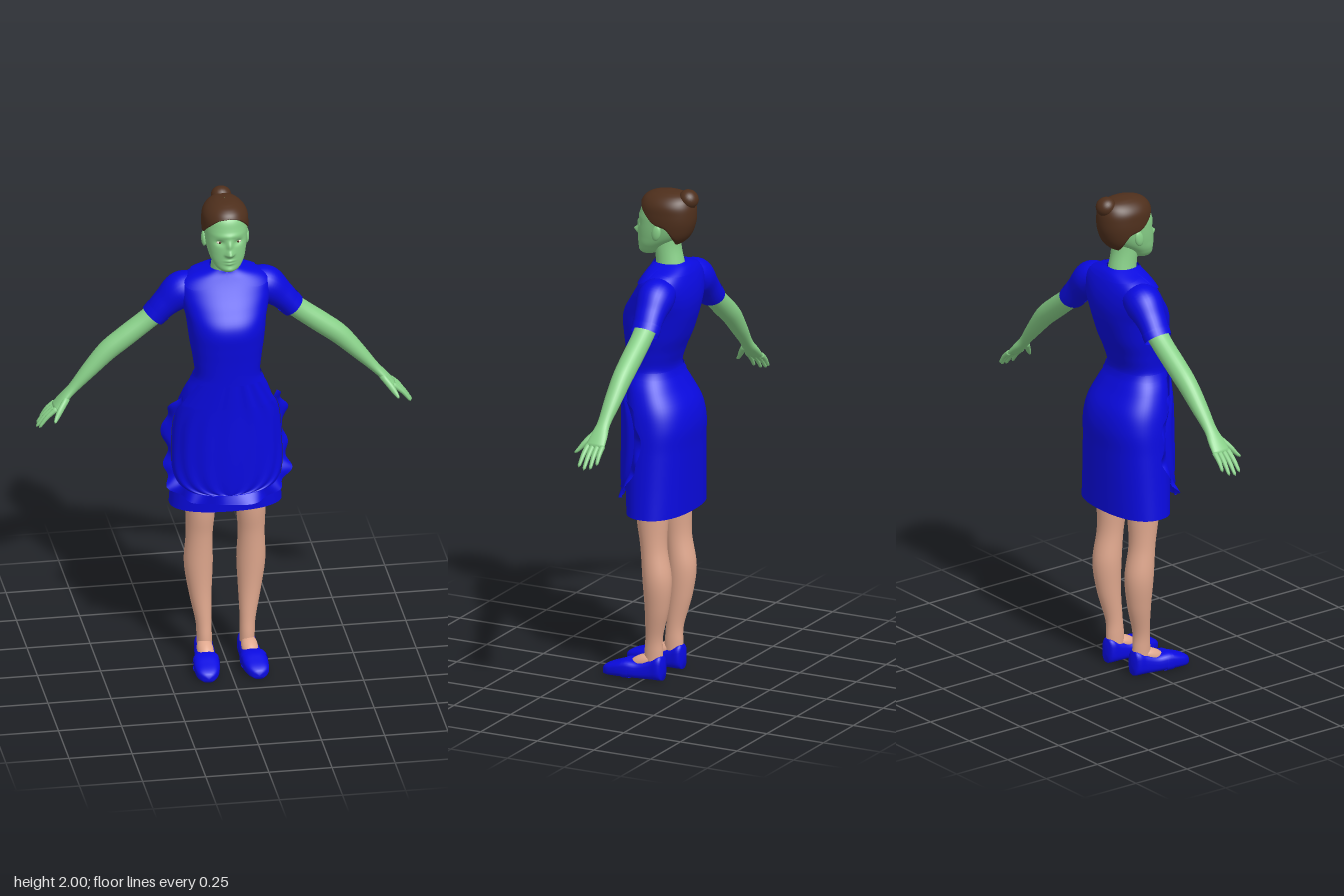
import * as THREE from 'three';
import { mergeVertices } from 'three/addons/utils/BufferGeometryUtils.js';

const material = (name, color, side = THREE.FrontSide) => {
  const m = new THREE.MeshStandardMaterial({ color, side });
  m.name = name;
  return m;
};
const part = (name, geometry, mat) => {
  const m = new THREE.Mesh(geometry, mat);
  m.name = name;
  return m;
};
const spow = (v, e) => Math.sign(v) * Math.pow(Math.abs(v), e);
const RAD = Math.PI / 180;

// Smooth lookup through rows of [key, ...values]
function lookup(rows) {
  const f = new THREE.CubicInterpolant(rows.map(r => r[0]), rows.flatMap(r => r.slice(1)), rows[0].length - 1);
  return k => Array.from(f.evaluate(k));
}

// Surface from fn(u, v), u and v in 0..1
function grid(nu, nv, fn) {
  const pos = [], idx = [];
  for (let i = 0; i <= nu; i++) for (let j = 0; j <= nv; j++) pos.push(...fn(i / nu, j / nv));
  for (let i = 0; i < nu; i++) for (let j = 0; j < nv; j++) {
    const a = i * (nv + 1) + j, b = a + nv + 1;
    idx.push(a, b, a + 1, b, b + 1, a + 1);
  }
  let g = new THREE.BufferGeometry();
  g.setAttribute('position', new THREE.Float32BufferAttribute(pos, 3));
  g.setIndex(idx);
  g = mergeVertices(g, 1e-5);
  g.computeVertexNormals();
  return g;
}

// Tapered limb through [x, y, z, radius across, radius in z]
function limb(points, capped = true, nu = 24, nv = 20) {
  const at = lookup(points.map((p, i) => [i, ...p]));
  const n = points.length - 1, Z = new THREE.Vector3(0, 0, 1);
  return grid(nu, nv, (u, v) => {
    const k = u * n, p = at(k), q = at(Math.min(n, k + 0.02)), o = at(Math.max(0, k - 0.02));
    const N = new THREE.Vector3(q[0] - o[0], q[1] - o[1], 0).normalize().cross(Z);
    const s = capped && (u === 0 || u === 1) ? 0 : 1;
    const c = Math.cos(v * 2 * Math.PI) * p[3] * s;
    return [p[0] + c * N.x, p[1] + c * N.y, p[2] + Math.sin(v * 2 * Math.PI) * p[4] * s];
  });
}

// Horizontal ring surface from rows of [y, half width, front z, back z]
function rings(rows, e) {
  const at = lookup(rows);
  return (y, a, off = 0) => {
    const [w, f, b] = at(y);
    return [(w + off) * spow(Math.sin(a), e), y, (f + b) / 2 + ((f - b) / 2 + off) * spow(Math.cos(a), e)];
  };
}

function ellipsoid(x, y, z, rx, ry, rz, tilt = 0) {
  return new THREE.SphereGeometry(1, 24, 16).scale(rx, ry, rz).rotateX(tilt).translate(x, y, z);
}

// Reflected copy across x = 0
function mirrored(mesh) {
  const g = mesh.geometry.clone().scale(-1, 1, 1), ix = g.index.array;
  for (let i = 0; i < ix.length; i += 3) [ix[i], ix[i + 1]] = [ix[i + 1], ix[i]];
  const nrm = g.attributes.normal;
  if (nrm) g.computeVertexNormals();
  return part(mesh.name.replace('left', 'right'), g, mesh.material);
}

export function createModel() {
  const root = new THREE.Group();
  root.name = 'woman';
  const blue = material('dress blue', 0x0a0ae0, THREE.DoubleSide);
  const green = material('green skin', 0x88d088);
  const tan = material('tan stockings', 0xe0a88e);
  const brown = material('hair brown', 0x4e2f1c, THREE.DoubleSide);
  const white = material('eye white', 0xe6dccb);
  const add = (name, g, m) => root.add(part(name, g, m));
  const pair = (name, g, m) => {
    const p = part('left' + name, g, m);
    root.add(p, mirrored(p));
  };

  // Dress
  const body = rings([
    [0.69, 0.222, 0.078, -0.165], [0.8, 0.214, 0.085, -0.168], [0.95, 0.204, 0.09, -0.173],
    [1.05, 0.198, 0.092, -0.176], [1.12, 0.187, 0.094, -0.16], [1.2, 0.16, 0.098, -0.115],
    [1.26, 0.13, 0.102, -0.088], [1.33, 0.134, 0.108, -0.105], [1.4, 0.145, 0.116, -0.135],
    [1.46, 0.152, 0.121, -0.155], [1.5, 0.157, 0.113, -0.166], [1.55, 0.17, 0.083, -0.173],
    [1.6, 0.18, 0.05, -0.17], [1.64, 0.175, 0.025, -0.16], [1.67, 0.135, 0.008, -0.147],
    [1.69, 0.08, -0.002, -0.132], [1.698, 0.058, -0.004, -0.12]], 0.86);
  const band = (y0, y1, off, n) => grid(n, 64, (u, v) => body(y1 + (y0 - y1) * u, v * 2 * Math.PI, off));
  add('bodice', band(1.25, 1.698, 0, 44), blue);
  add('skirt', band(0.69, 1.25, 0, 36), blue);
  add('waistband', band(1.235, 1.262, 0.005, 2), blue);

  // Rounded collar flaps, meeting at the front
  pair('Collar', grid(8, 40, (u, v) => {
    const a = 0.03 + v * (Math.PI - 0.03), lobe = Math.pow(Math.max(0, Math.sin(Math.min(a * 2.2, Math.PI))), 0.6);
    const low = 1.682 - 0.052 * lobe * (a < 1.43 ? 1 : 0) - (a > 1.43 ? 0.02 * Math.sin((a - 1.43) * 0.92) : 0);
    return body(1.698 + (low - 1.698) * u, a, 0.007);
  }), blue);

  // Short sleeves with cuffs
  pair('Sleeve', limb([
    [0.1, 1.61, -0.08, 0.055, 0.065], [0.165, 1.59, -0.083, 0.074, 0.074], [0.225, 1.54, -0.088, 0.056, 0.062],
    [0.275, 1.484, -0.095, 0.046, 0.056]], false, 24, 28), blue);
  pair('Cuff', limb([
    [0.256, 1.506, -0.092, 0.052, 0.06], [0.278, 1.481, -0.095, 0.049, 0.058]], false, 3, 28), blue);

  // Apron: rounded panel with a wavy ruffle along its edge
  const edge = phi => [82 * RAD * spow(Math.sin(phi), 0.8), 1.0 - 0.23 * spow(Math.cos(phi), 0.8)];
  const PHI = 130 * RAD;
  add('apronPanel', grid(40, 40, (u, v) => {
    const [a, y] = u === 0 ? [56 * RAD, 1.25] : edge(PHI * (1 - u));
    const s = v * 2 - 1;
    return body(y, a * s, 0.018 + 0.002 * Math.cos(s * 22));
  }), blue);
  add('apronRuffle', grid(6, 260, (u, v) => {
    const phi = (v * 2 - 1) * PHI, [a, y] = edge(phi), w = 0.036 * u;
    const wave = 0.011 * Math.sin(phi * 15) + 0.007 * Math.sin(phi * 7 + 1);
    const side = Math.pow(Math.abs(Math.sin(phi)), 2);
    return body(y - w * Math.cos(phi), a + w * 4.5 * Math.sin(phi), 0.018 + u * (0.008 + 0.012 * side + wave));
  }), blue);

  // Arms and palms
  pair('Arm', limb([
    [0.22, 1.535, -0.09, 0.042, 0.046], [0.3, 1.468, -0.093, 0.041, 0.042], [0.39, 1.4, -0.091, 0.042, 0.041],
    [0.46, 1.345, -0.089, 0.04, 0.039], [0.53, 1.272, -0.085, 0.031, 0.034], [0.595, 1.2, -0.081, 0.02, 0.027],
    [0.635, 1.158, -0.08, 0.017, 0.036], [0.675, 1.117, -0.08, 0.012, 0.041]], true, 44, 24), green);
  // Fingers: [root z, tip x, tip y, tip z]
  [[-0.111, 0.722, 1.066, -0.114], [-0.09, 0.739, 1.051, -0.094],
    [-0.07, 0.745, 1.046, -0.069], [-0.05, 0.737, 1.053, -0.043]].forEach(([z, tx, ty, tz], i) =>
    pair('Finger' + (i + 1), limb([
      [0.66, 1.132, z, 0.011, 0.011], [(0.66 + tx) / 2 + 0.004, (1.132 + ty) / 2 + 0.004, (z + tz) / 2, 0.009, 0.0095],
      [tx, ty, tz, 0.005, 0.006]], true, 12, 10), green));
  pair('Thumb', limb([
    [0.615, 1.175, -0.065, 0.013, 0.014], [0.65, 1.135, -0.033, 0.013, 0.013], [0.668, 1.11, -0.015, 0.01, 0.01],
    [0.682, 1.09, 0.002, 0.005, 0.006]], true, 14, 12), green);

  // Legs
  pair('Leg', limb([
    [0.1, 0.9, -0.04, 0.07, 0.075], [0.1, 0.68, -0.035, 0.06, 0.065], [0.103, 0.55, -0.042, 0.053, 0.053],
    [0.104, 0.42, -0.057, 0.057, 0.058], [0.098, 0.3, -0.053, 0.046, 0.049], [0.088, 0.18, -0.036, 0.032, 0.036],
    [0.085, 0.11, -0.032, 0.03, 0.038], [0.085, 0.04, -0.032, 0.03, 0.04]], true, 44, 24), tan);
  pair('Instep', ellipsoid(0.088, 0.065, 0.015, 0.033, 0.03, 0.066, 0.42), tan);

  // Loafers: rows of [z, centre x, half width, height]
  const shoe = lookup([
    [-0.081, 0.085, 0.018, 0.088], [-0.068, 0.085, 0.032, 0.1], [-0.03, 0.086, 0.037, 0.088], [0.02, 0.09, 0.043, 0.071],
    [0.07, 0.094, 0.05, 0.074], [0.12, 0.097, 0.049, 0.06], [0.16, 0.1, 0.036, 0.044], [0.18, 0.1, 0.014, 0.03]]);
  const shell = (z, v, grow, s = 1) => {
    const [cx, w, h] = shoe(z), a = v * 2 * Math.PI;
    return [cx + (w + grow) * s * spow(Math.cos(a), 0.75),
      Math.max(0, h / 2 + (h / 2 + grow) * s * spow(Math.sin(a), 0.65)), z];
  };
  pair('Shoe', grid(36, 32, (u, v) => shell(0.18 - 0.261 * u, v, 0, u === 0 || u === 1 ? 0 : 1)), blue);
  pair('ShoeStrap', grid(3, 32, (u, v) => shell(0.085 - 0.03 * u, v, 0.003)), blue);

  // Neck and head with modelled face
  add('neck', limb([
    [0, 1.64, -0.07, 0.062, 0.06], [0, 1.7, -0.06, 0.053, 0.057], [0, 1.76, -0.05, 0.05, 0.055],
    [0, 1.83, -0.045, 0.05, 0.06]]), green);
  const skull = rings([
    [1.718, 0.022, 0.055, 0.015], [1.73, 0.042, 0.066, -0.015], [1.76, 0.063, 0.07, -0.05], [1.8, 0.076, 0.072, -0.105],
    [1.85, 0.084, 0.068, -0.14], [1.9, 0.085, 0.06, -0.152], [1.94, 0.077, 0.045, -0.145], [1.965, 0.05, 0.015, -0.12],
    [1.975, 0.02, -0.03, -0.08]], 0.92);
  const bumps = [ // [x, y, spread x, spread y, height]
    [0, 1.806, 0.012, 0.013, 0.026], [0, 1.838, 0.01, 0.022, 0.015], [0, 1.876, 0.05, 0.01, 0.005],
    [0.036, 1.848, 0.016, 0.011, -0.011], [0, 1.774, 0.018, 0.005, 0.006], [0, 1.761, 0.016, 0.005, 0.006],
    [0, 1.734, 0.02, 0.011, 0.007], [0.013, 1.801, 0.006, 0.006, 0.006]];
  const face = (y, a) => {
    const p = skull(y, a);
    if (Math.cos(a) > 0) for (const [x, by, sx, sy, h] of bumps)
      p[2] += h * Math.exp(-(((Math.abs(p[0]) - x) / sx) ** 2) - ((y - by) / sy) ** 2);
    return p;
  };
  add('head', grid(80, 96, (u, v) => {
    const a = v * 2 * Math.PI;
    if (u === 0) return [0, 1.975, -0.055];
    if (u === 1) return [0, 1.718, 0.035];
    return face(1.975 - 0.257 * u, a);
  }), green);
  pair('Ear', ellipsoid(0.084, 1.828, -0.042, 0.011, 0.032, 0.019, -0.2), green);

  // Eyes
  const [ex, ey, ez] = face(1.847, 0.4);
  pair('Eye', ellipsoid(ex, ey, ez - 0.004, 0.014, 0.006, 0.007), white);
  pair('Iris', ellipsoid(ex, ey, ez + 0.001, 0.0055, 0.0055, 0.003), brown);

  // Swept-back hair and bun
  const hair = rings([
    [1.765, 0.05, -0.01, -0.098], [1.8, 0.073, 0.02, -0.138], [1.85, 0.088, 0.055, -0.162], [1.9, 0.091, 0.064, -0.168],
    [1.94, 0.085, 0.055, -0.162], [1.965, 0.066, 0.036, -0.147], [1.978, 0.046, 0.01, -0.125],
    [1.985, 0.026, -0.02, -0.095], [1.988, 0.001, -0.055, -0.057]], 0.95);
  const hairline = lookup([[0, 1.943], [0.5, 1.932], [1.0, 1.895], [1.4, 1.858], [1.8, 1.845], [2.1, 1.805], [2.6, 1.775], [3.15, 1.768]]);
  add('hair', grid(36, 80, (u, v) => {
    const a = v * 2 * Math.PI, [low] = hairline(Math.min(a, 2 * Math.PI - a));
    return hair(1.988 - (1.988 - low) * Math.pow(u, 1.6), a, u === 1 ? -0.006 : 0);
  }), brown);
  add('bun', ellipsoid(0, 1.961, -0.142, 0.04, 0.036, 0.04, -0.6), brown);
  add('bunTwist', new THREE.TorusGeometry(0.027, 0.014, 10, 28).rotateX(Math.PI / 2 - 0.7).translate(0, 1.951, -0.133), brown);

  return root;
}
